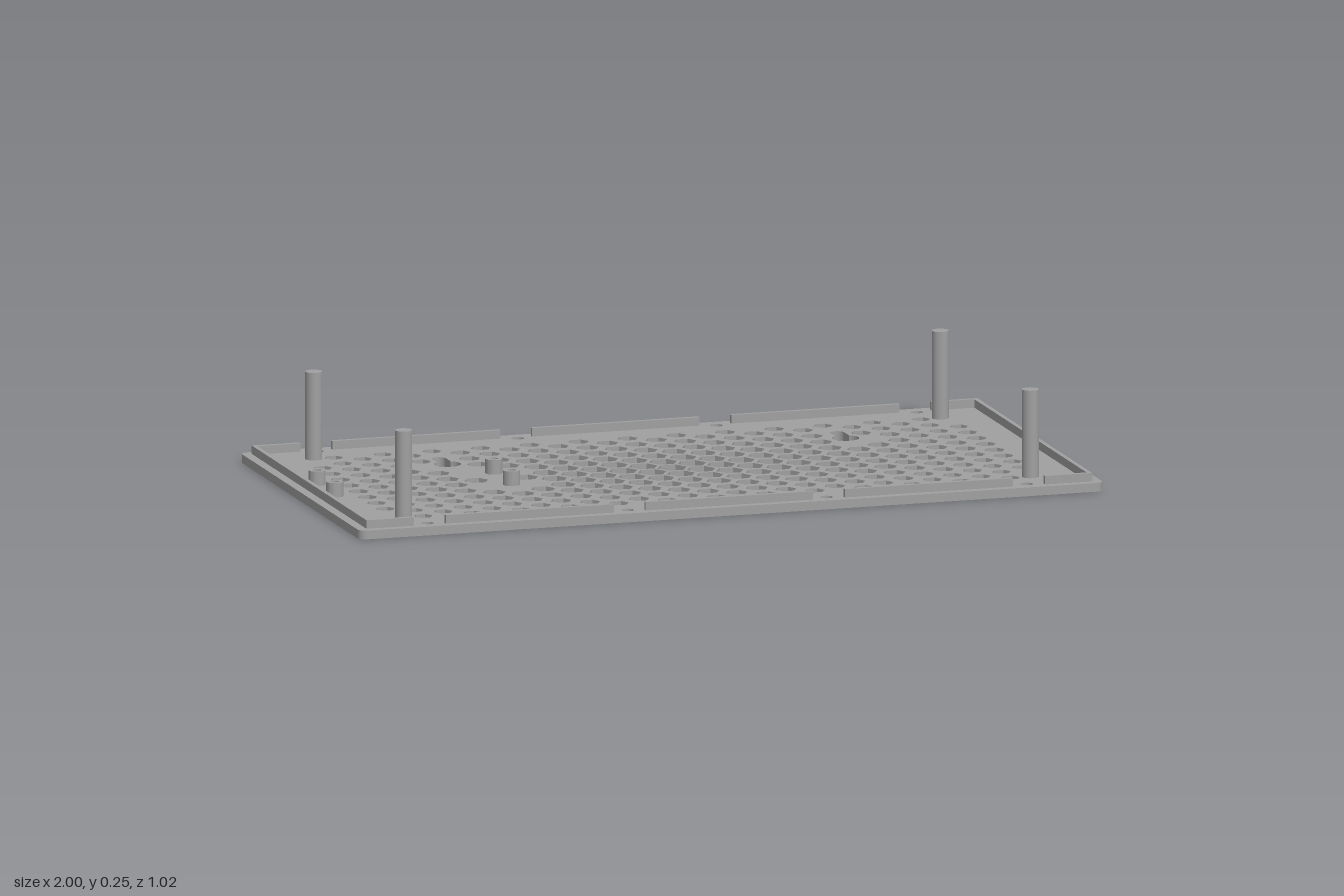
import * as THREE from 'three';

const BASE = 0.023, RIM_TOP = 0.045;
const RIM_X = 0.975, RIM_Z = 0.488, RIM_T = 0.012;
const POSTS = [[-0.842, -0.382], [0.842, -0.382], [-0.842, 0.382], [0.842, 0.382]];
const STANDOFFS = [[-0.93, -0.075], [-0.93, 0.075], [-0.455, -0.075], [-0.455, 0.075]];
const KEYHOLES = [-0.535, 0.535];
const KEY_Z = -0.216, KEY_R = 0.035, SLOT_W = 0.018, SLOT_END = -0.286;

export function createModel() {
  const group = new THREE.Group();
  group.name = 'ventilatedPanel';
  const grey = new THREE.MeshStandardMaterial({ color: 0xa0a0a0 });
  grey.name = 'grey';

  const add = (name, geometry, x = 0, y = 0, z = 0) => {
    const mesh = new THREE.Mesh(geometry, grey);
    mesh.name = name;
    mesh.position.set(x, y, z);
    group.add(mesh);
  };
  // Extrudes a plan shape (drawn with y = -z) upwards
  const slab = (shape, depth) =>
    new THREE.ExtrudeGeometry(shape, { depth, bevelEnabled: false, curveSegments: 12 }).rotateX(-Math.PI / 2);
  const circle = (x, z, r) => new THREE.Path().absarc(x, -z, r, 0, Math.PI * 2, true);

  // Base plate outline with rounded corners
  const plate = new THREE.Shape();
  const W = 1, D = 0.51, R = 0.022;
  plate.absarc(W - R, D - R, R, 0, Math.PI / 2, false);
  plate.absarc(-W + R, D - R, R, Math.PI / 2, Math.PI, false);
  plate.absarc(-W + R, -D + R, R, Math.PI, Math.PI * 1.5, false);
  plate.absarc(W - R, -D + R, R, Math.PI * 1.5, Math.PI * 2, false);
  plate.closePath();

  // Screw holes along both long edges
  for (const x of [-0.805, -0.267, 0.267, 0.805])
    for (const z of [-0.467, 0.467]) plate.holes.push(circle(x, z, 0.016));

  // Keyhole hangers: a round opening with a narrow slot towards the back
  for (const x of KEYHOLES) {
    const a = Math.acos(SLOT_W / KEY_R);
    const path = new THREE.Path();
    path.absarc(x, -KEY_Z, KEY_R, a, Math.PI - a, true);
    path.absarc(x, -SLOT_END, SLOT_W, Math.PI, 0, true);
    path.closePath();
    plate.holes.push(path);
  }

  // Honeycomb vents, larger towards the middle, kept clear of the fittings
  const near = (x, z, list, d) => list.some(([px, pz]) => Math.hypot(x - px, z - pz) < d);
  const nearKeyhole = (x, z) => KEYHOLES.some((k) => {
    const zs = Math.min(KEY_Z, Math.max(SLOT_END, z));
    return Math.hypot(x - k, z - KEY_Z) < 0.07 || Math.hypot(x - k, z - zs) < 0.05;
  });
  const pitch = 0.0759;
  for (let col = -13; col <= 13; col++) {
    const odd = Math.abs(col) % 2;
    for (let row = -5; row <= 5 - odd; row++) {
      const x = col * pitch * Math.sqrt(3) / 2;
      const z = (row + odd / 2) * pitch;
      if (near(x, z, POSTS, 0.05) || near(x, z, STANDOFFS, 0.08) || nearKeyhole(x, z)) continue;
      const r = 0.04 - 0.013 * Math.min(1.15, Math.hypot(x / 0.88, z / 0.4));
      const corners = [];
      for (let i = 0; i < 6; i++) {
        const a = -i * Math.PI / 3;
        corners.push(new THREE.Vector2(x + r * Math.cos(a), -z + r * Math.sin(a)));
      }
      plate.holes.push(new THREE.Path(corners));
    }
  }
  add('basePlate', slab(plate, BASE));

  // Raised rim: solid at the ends, interrupted at the screws
  const rimH = RIM_TOP - BASE, rimY = BASE + rimH / 2;
  for (const s of [-1, 1]) {
    add('endRim', new THREE.BoxGeometry(RIM_T, rimH, RIM_Z * 2), s * (RIM_X - RIM_T / 2), rimY, 0);
    for (const [a, b] of [[-RIM_X + RIM_T, -0.848], [-0.762, -0.31], [-0.225, 0.225], [0.31, 0.762], [0.848, RIM_X - RIM_T]])
      add('longRim', new THREE.BoxGeometry(b - a, rimH, RIM_T), (a + b) / 2, rimY, s * (RIM_Z - RIM_T / 2));
  }

  // Tall corner posts
  const postH = 0.252 - BASE;
  for (const [x, z] of POSTS)
    add('cornerPost', new THREE.CylinderGeometry(0.022, 0.022, postH, 32), x, BASE + postH / 2, z);

  // Short hollow standoffs
  const h = 0.061 - BASE;
  const ring = [[0.011, 0], [0.022, 0], [0.022, 0], [0.022, h], [0.022, h], [0.011, h], [0.011, h], [0.011, 0]]
    .map(([r, y]) => new THREE.Vector2(r, y));
  for (const [x, z] of STANDOFFS) {
    const shape = new THREE.Shape().absarc(0, 0, ring[1].x, 0, Math.PI * 2, false);
    shape.holes.push(circle(0, 0, ring[0].x));
    add('standoff', slab(shape, h), x, BASE, z);
  }
  return group;
}
